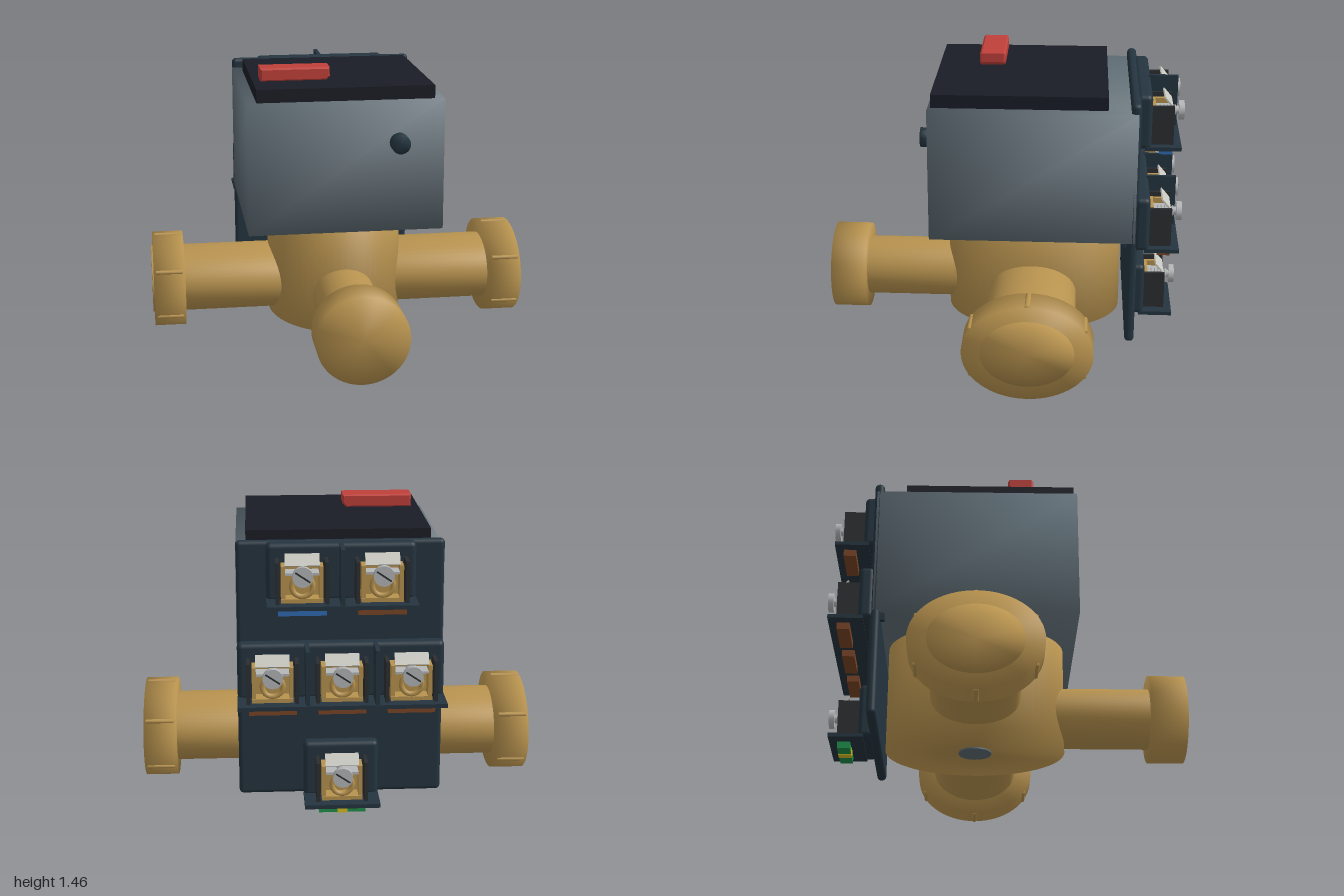
import * as THREE from 'three';
import { mergeVertices } from 'three/addons/utils/BufferGeometryUtils.js';
import { RoundedBoxGeometry } from 'three/addons/geometries/RoundedBoxGeometry.js';

const mat = (color) => new THREE.MeshStandardMaterial({ color });
const M = {
  brass: mat(0xb8934f), housing: mat(0x5f6d75), plate: mat(0x24343f), black: mat(0x1a1d26),
  red: mat(0xc0403a), wall: mat(0x2b2e30), steel: mat(0xb4b6b8), label: mat(0xc8c8c0),
  blue: mat(0x2f6cb5), brown: mat(0x7a4526), green: mat(0x1f8f4a), yellow: mat(0xd8c020),
};

// Shares normals across every edge for a soft cast look
function soften(g) {
  g.deleteAttribute('normal');
  g.deleteAttribute('uv');
  const m = mergeVertices(g);
  m.computeVertexNormals();
  return m;
}

function add(parent, name, geo, material, x = 0, y = 0, z = 0) {
  const mesh = new THREE.Mesh(geo, material);
  mesh.name = name;
  mesh.position.set(x, y, z);
  parent.add(mesh);
  return mesh;
}

// Box given by its limits on each axis
function box(parent, name, material, [x0, x1], [y0, y1], [z0, z1], radius = 0) {
  const s = [x1 - x0, y1 - y0, z1 - z0];
  const g = radius ? new RoundedBoxGeometry(...s, 3, radius) : new THREE.BoxGeometry(...s);
  return add(parent, name, g, material, (x0 + x1) / 2, (y0 + y1) / 2, (z0 + z1) / 2);
}

// Soft cylinder along an axis, with an elliptical section
function rod(axis, length, a, b, sides = 48) {
  const g = new THREE.CylinderGeometry(1, 1, length, sides);
  g.scale(a, 1, b);
  if (axis === 'x') g.rotateZ(-Math.PI / 2);
  if (axis === 'z') g.rotateX(Math.PI / 2);
  return soften(g);
}

const CY = 0.257, CZ = -0.162; // centre of the valve

function valve() {
  const v = new THREE.Group();
  v.name = 'valve';
  add(v, 'valveBody', rod('y', 0.565, 0.36, 0.463, 64), M.brass, 0, 0.3475, CZ);
  add(v, 'valveStem', new THREE.CylinderGeometry(0.085, 0.085, 0.59, 32), M.housing, 0, 0.352, CZ);

  // Side ports with ribbed union nuts
  for (const s of [-1, 1]) {
    const port = new THREE.Group();
    port.name = s > 0 ? 'leftPort' : 'rightPort';
    add(port, 'sidePipe', rod('x', 0.8, 0.175, 0.23), M.brass, s * 0.6, CY, CZ);
    add(port, 'unionNut', rod('x', 0.165, 0.248, 0.323, 64), M.brass, s * 0.91, CY, CZ);
    for (let i = 0; i < 6; i++) {
      const a = Math.PI / 2 + (i * Math.PI) / 3;
      add(port, 'nutRib', rod('x', 0.14, 0.011, 0.014, 8), M.brass,
        s * 0.91, CY + 0.246 * Math.sin(a), CZ + 0.32 * Math.cos(a));
    }
    v.add(port);
  }

  // Front port with its cap
  add(v, 'frontPipe', rod('z', 0.8, 0.163, 0.157), M.brass, 0, CY, 0.4);
  add(v, 'frontCap', rod('z', 0.185, 0.234, 0.228, 64), M.brass, 0, CY, 0.832);
  return v;
}

function actuator() {
  const a = new THREE.Group();
  a.name = 'actuator';
  const h = box(a, 'housing', M.housing, [-0.505, 0.505], [0.637, 1.325], [-0.685, 0.36]);
  h.geometry = soften(h.geometry);
  box(a, 'lid', M.black, [-0.455, 0.455], [1.32, 1.393], [-0.535, 0.345]);

  // Lever with chamfered ends and a sloping underside
  const s = new THREE.Shape([[-0.415, 0], [-0.075, 0], [-0.055, 0.02], [-0.055, 0.067], [-0.415, 0.067]]
    .map((p) => new THREE.Vector2(...p)));
  const lever = new THREE.ExtrudeGeometry(s, {
    depth: 0.115, bevelThickness: 0.01, bevelSize: 0.008, bevelOffset: -0.008, bevelSegments: 1,
  });
  add(a, 'lever', lever, M.red, 0, 1.392, 0.01);

  // Front button
  const b = new THREE.CylinderGeometry(0.05, 0.05, 0.065, 32).rotateX(Math.PI / 2);
  add(a, 'button', soften(b), M.plate, 0.27, 1.105, 0.385);
  return a;
}

// One screw terminal standing on its shelf at height y
function terminal(x, y, tabMaterial, striped) {
  const t = new THREE.Group();
  t.name = 'terminal';
  t.position.set(x, y, 0);
  for (const s of [-1, 1]) {
    const side = (a, b) => [Math.min(s * a, s * b), Math.max(s * a, s * b)];
    box(t, 'terminalWall', M.wall, side(0.108, 0.126), [0.02, 0.222], [-0.868, -0.74]);
    box(t, 'clampSide', M.brass, side(0.08, 0.1), [0.03, 0.2], [-0.855, -0.77]);
  }
  box(t, 'clampBack', M.brass, [-0.1, 0.1], [0.03, 0.2], [-0.78, -0.76]);
  box(t, 'clampFoot', M.brass, [-0.1, 0.1], [0.025, 0.045], [-0.86, -0.77]);
  box(t, 'clampBar', M.steel, [-0.08, 0.08], [0.16, 0.172], [-0.862, -0.77]);

  // Wire ring below the screw
  const ring = new THREE.TorusGeometry(0.05, 0.013, 8, 24);
  add(t, 'wireRing', ring, M.brass, 0, 0.105, -0.85);

  // Screw with threads and a slotted head
  const shaft = new THREE.CylinderGeometry(0.02, 0.02, 0.13, 16).rotateX(Math.PI / 2);
  add(t, 'screwShaft', shaft, M.steel, 0, 0.165, -0.83);
  for (let i = 0; i < 5; i++) {
    add(t, 'screwThread', new THREE.TorusGeometry(0.021, 0.006, 6, 16), M.steel, 0, 0.165, -0.805 - i * 0.018);
  }
  const head = new THREE.CylinderGeometry(0.049, 0.049, 0.028, 24).rotateX(Math.PI / 2);
  add(t, 'screwHead', head, M.steel, 0, 0.165, -0.909);
  const slot = box(t, 'screwSlot', M.wall, [-0.042, 0.042], [0.161, 0.169], [-0.9245, -0.92]);
  slot.rotation.z = 0.6;

  // Tilted blank marker plate
  const plate = add(t, 'marker', new THREE.BoxGeometry(0.165, 0.065, 0.008), M.label, 0, 0.23, -0.84);
  plate.rotation.x = 0.7;

  // Colour tab under the shelf
  box(t, 'colourTab', tabMaterial, [-0.115, 0.115], [-0.036, 0.005], [-0.865, -0.8]);
  if (striped) box(t, 'tabStripe', M.yellow, [-0.025, 0.025], [-0.038, 0.004], [-0.867, -0.798]);
  return t;
}

function terminalRow(y, halfWidth, xs, tabs, striped = false) {
  const r = new THREE.Group();
  r.name = 'terminalRow';
  box(r, 'rowBase', M.plate, [-halfWidth, halfWidth], [y + 0.005, y + 0.29], [-0.757, -0.68], 0.025);
  box(r, 'rowShelf', M.plate, [-halfWidth, halfWidth], [y, y + 0.02], [-0.908, -0.73]);
  xs.forEach((x, i) => {
    r.add(terminal(x, y, tabs[i], striped));
    if (i) {
      const m = (x + xs[i - 1]) / 2;
      box(r, 'divider', M.plate, [m - 0.01, m + 0.01], [y + 0.01, y + 0.29], [-0.9, -0.74]);
    }
  });
  return r;
}

export function createModel() {
  const model = new THREE.Group();
  model.name = 'motorisedValve';
  model.add(valve(), actuator());

  // Wiring plate on the back with three rows of terminals
  const back = new THREE.Group();
  back.name = 'wiringPlate';
  box(back, 'backPlate', M.plate, [-0.505, 0.505], [0.078, 1.375], [-0.697, -0.648], 0.022);
  for (const s of [-1, 1]) {
    add(back, 'platePeg', new THREE.BoxGeometry(0.03, 0.06, 0.03), M.plate, s * 0.455, 0.63, -0.64);
  }
  back.add(
    terminalRow(1.085, 0.36, [-0.19, 0.19], [M.brown, M.blue]),
    terminalRow(0.59, 0.505, [-0.335, 0, 0.335], [M.brown, M.brown, M.brown]),
    terminalRow(0.078, 0.185, [0], [M.green], true),
  );
  model.add(back);
  return model;
}
